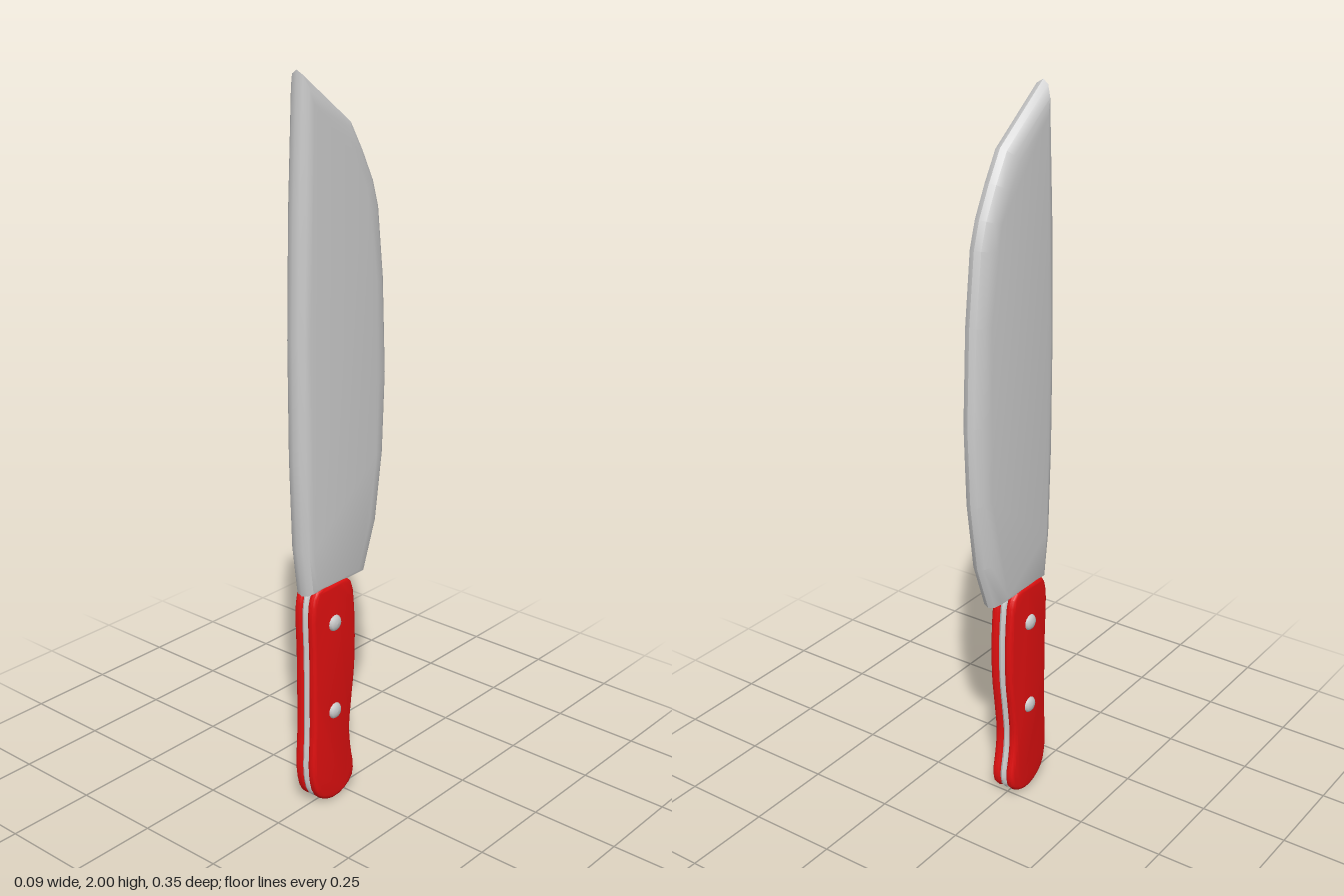
import * as THREE from 'three';
import { toCreasedNormals } from 'three/addons/utils/BufferGeometryUtils.js';

const steel = new THREE.MeshStandardMaterial({ color: 0xcccccc });
const red = new THREE.MeshStandardMaterial({ color: 0xe01010 });

// Move every edge of a counter-clockwise outline inwards by its own width.
function inset(points, widths, t) {
  const n = points.length;
  const line = (i) => {
    const p = points[i], q = points[(i + 1) % n];
    const len = Math.hypot(q[0] - p[0], q[1] - p[1]);
    const nx = (q[1] - p[1]) / len, ny = (p[0] - q[0]) / len;
    return [nx, ny, nx * p[0] + ny * p[1] - widths[i] * t];
  };
  return points.map((p, i) => {
    const [a, b, c] = line((i + n - 1) % n), [d, e, f] = line(i);
    const det = a * e - b * d;
    if (Math.abs(det) < 1e-3) return [p[0] - a * widths[i] * t, p[1] - b * widths[i] * t];
    return [(c * e - b * f) / det, (a * f - c * d) / det];
  });
}

// Slab standing in the z/y plane, with rounded edges and flat left and right sides.
// Outline is given as [z, y], running down the front and up the back.
function slab(outline, widths, half, steps = 6) {
  const points = outline.map(([z, y]) => [-z, y]);
  const n = points.length, pos = [], index = [];
  let ring;
  for (let k = 0; k <= steps; k++) {
    const a = (k / steps - 0.5) * Math.PI;
    ring = inset(points, widths, 1 - Math.cos(a));
    ring.forEach(([u, v]) => pos.push(half * Math.sin(a), v, -u));
  }
  for (let k = 0; k < steps; k++) {
    for (let i = 0; i < n; i++) {
      const j = (i + 1) % n, a = k * n + i, b = k * n + j;
      index.push(a, b, b + n, a, b + n, a + n);
    }
  }
  // flat sides
  const top = steps * n;
  const faces = THREE.ShapeUtils.triangulateShape(ring.map(([u, v]) => new THREE.Vector2(u, v)), []);
  for (const [a, b, c] of faces) index.push(top + a, top + b, top + c, c, b, a);
  const geometry = new THREE.BufferGeometry();
  geometry.setAttribute('position', new THREE.Float32BufferAttribute(pos, 3));
  geometry.setIndex(index);
  return toCreasedNormals(geometry, 0.6);
}

export function createModel() {
  const group = new THREE.Group();
  const add = (name, geometry, material, x = 0, y = 0, z = 0) => {
    const mesh = new THREE.Mesh(geometry, material);
    mesh.name = name;
    mesh.position.set(x, y, z);
    group.add(mesh);
    return mesh;
  };

  // Blade: spine, heel, cutting edge and slanted tip each have their own bevel width
  const spine = [[0.15, 2], [0.167, 1.66], [0.175, 1.34], [0.174, 1.03], [0.165, 0.78]];
  const heel = [[0.147, 0.645]];
  const edge = [[-0.09, 0.645], [-0.138, 0.78], [-0.165, 0.97], [-0.174, 1.19], [-0.162, 1.45],
    [-0.14, 1.64], [-0.118, 1.71], [-0.077, 1.79]];
  const tip = [[-0.032, 1.865]];
  const widths = [...spine.map(() => 0.03), 0.02, ...edge.map(() => 0.05), 0.05];
  add('blade', slab([...spine, ...heel, ...edge, ...tip], widths, 0.034), steel);

  // Handle outline shared by the tang and both scales
  const curve = new THREE.CatmullRomCurve3([
    [0.12, 0.658], [0.138, 0.62], [0.138, 0.45], [0.138, 0.25], [0.142, 0.1], [0.125, 0.04],
    [0.09, 0.012], [0.05, 0.002], [0.01, 0.012], [-0.022, 0.038], [-0.029, 0.075], [-0.019, 0.13],
    [-0.012, 0.2], [-0.021, 0.29], [-0.032, 0.38], [-0.035, 0.48], [-0.03, 0.58], [-0.021, 0.635],
    [-0.002, 0.658], [0.06, 0.66],
  ].map(([z, y]) => new THREE.Vector3(0, y, z)), true);
  const outline = curve.getSpacedPoints(64).slice(0, -1).map((p) => [p.z, p.y]);
  const rim = outline.map(() => 0.012);
  add('tang', slab(outline, rim, 0.01), steel);

  // Rivet head: a low dome on a short shank
  const dome = new THREE.LatheGeometry([[0.023, -0.012], [0.023, 0.004], [0.018, 0.01], [0.009, 0.013], [0, 0.014]]
    .map(([r, h]) => new THREE.Vector2(r, h)), 16);

  for (const [side, s] of [['left', 1], ['right', -1]]) {
    add(side + 'Scale', slab(outline, rim, 0.013), red, s * 0.0225);
    for (const [place, y] of [['upper', 0.545], ['lower', 0.28]]) {
      add(`${side}${place === 'upper' ? 'Upper' : 'Lower'}Rivet`, dome, steel, s * 0.033, y, 0.056)
        .rotation.z = -s * Math.PI / 2;
    }
  }
  return group;
}
